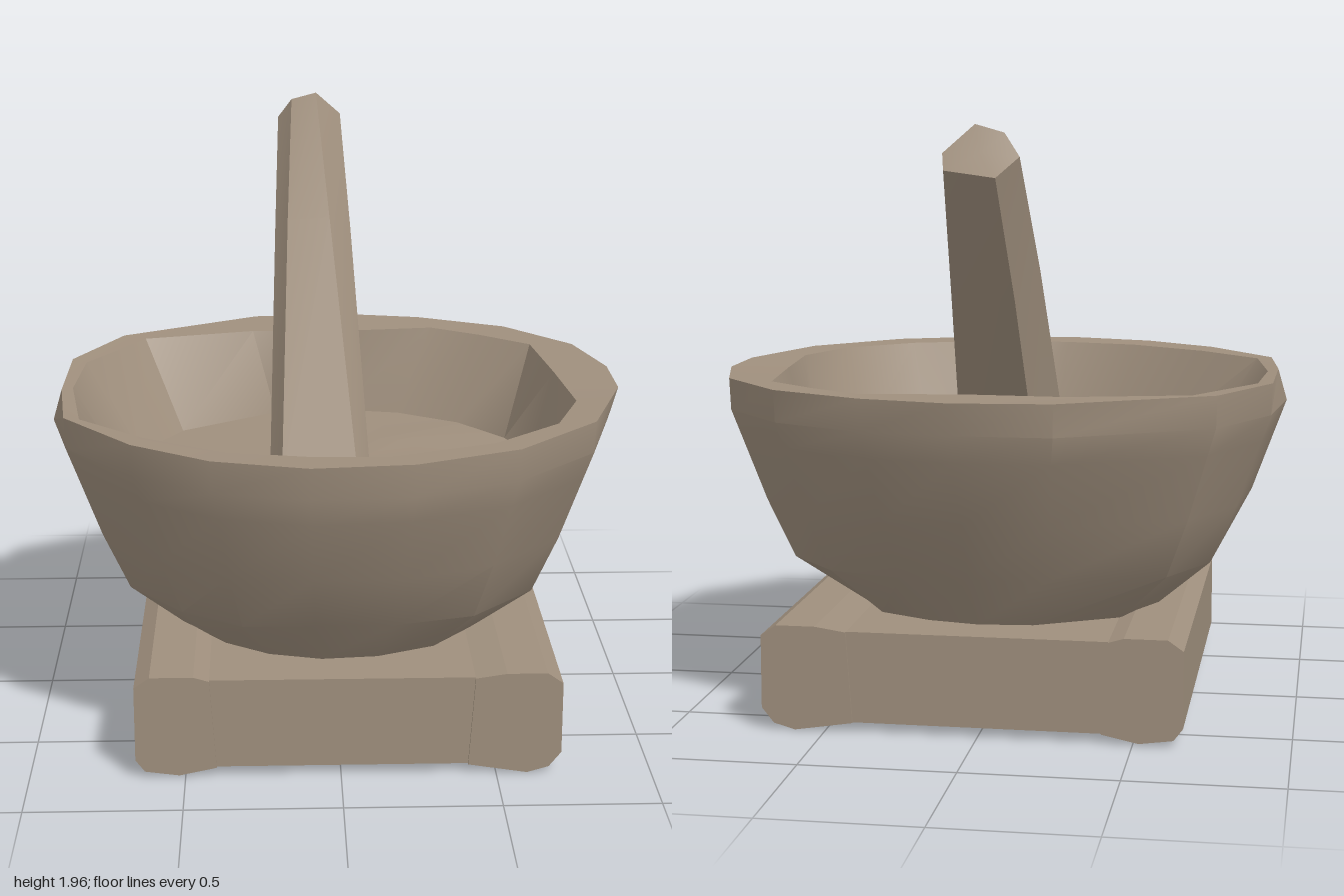
import * as THREE from 'three';
import { toCreasedNormals } from 'three/addons/utils/BufferGeometryUtils.js';

// Skin a stack of equal-length rings; each ring runs from +x towards +z.
// A one-point ring closes the surface.
function loft(rings, crease) {
  const pos = [];
  const n = Math.max(...rings.map((r) => r.length));
  const at = (r, i) => r[i % r.length];
  for (let k = 0; k < rings.length - 1; k++) {
    const a = rings[k], b = rings[k + 1];
    for (let i = 0; i < n; i++) {
      if (a.length > 1) pos.push(...at(a, i), ...at(b, i), ...at(a, i + 1));
      if (b.length > 1) pos.push(...at(a, i + 1), ...at(b, i), ...at(b, i + 1));
    }
  }
  const g = new THREE.BufferGeometry();
  g.setAttribute('position', new THREE.Float32BufferAttribute(pos, 3));
  return toCreasedNormals(g, crease);
}

// Irregular hewn rim outlines as [x, z]
const outerRim = [
  [0.95, 0.16], [0.82, 0.55], [0.55, 0.83], [0.22, 0.97], [-0.1, 1.0], [-0.4, 0.92],
  [-0.65, 0.75], [-0.88, 0.46], [-0.95, 0.13], [-0.91, -0.25], [-0.75, -0.57],
  [-0.27, -0.84], [0.05, -0.87], [0.34, -0.81], [0.65, -0.66], [0.87, -0.4], [0.95, -0.1],
];
const innerRim = [
  [0.79, 0.3], [0.7, 0.55], [0.48, 0.75], [0.13, 0.88], [-0.1, 0.87], [-0.35, 0.82],
  [-0.62, 0.66], [-0.83, 0.46], [-0.88, 0.1], [-0.86, -0.22], [-0.67, -0.54],
  [-0.28, -0.64], [0.03, -0.63], [0.38, -0.67], [0.55, -0.56], [0.72, -0.42], [0.76, -0.05],
];

function bowlGeometry() {
  const cz = 0.065;
  const clamp = THREE.MathUtils.clamp;
  // Outer wall rings are shrunken copies of the rim, cut flat at their limits
  const wall = (y, scale, x0, x1, z0, z1) =>
    outerRim.map(([x, z]) => [clamp(x * scale, x0, x1), y, clamp(cz + (z - cz) * scale, z0, z1)]);
  // Floor rings are round and slightly uneven
  const floor = (y, radius, bump) =>
    outerRim.map(([x, z], i) => {
      const a = Math.atan2(z - cz, x);
      return [radius * Math.cos(a), y + bump * Math.sin(i * 2.4), 0.08 + radius * Math.sin(a)];
    });
  return loft([
    [[-0.04, 0.33, cz]],
    wall(0.33, 0.57, -0.53, 0.45, -0.49, 0.62),
    wall(0.5, 0.78, -0.72, 0.715, -0.57, 0.73),
    wall(0.7, 0.875, -0.86, 0.8, -0.68, 0.85),
    wall(0.92, 0.96, -0.93, 0.88, -0.81, 0.965),
    wall(1.01, 0.995, -0.95, 0.92, -0.84, 0.985),
    // the rim is worn in on one side
    outerRim.map(([x, z]) => [Math.max(x, -0.915), 1.115, z]),
    innerRim.map(([x, z]) => [x, 1.11, z]),
    floor(0.81, 0.7, 0),
    floor(0.81, 0.38, 0.012),
    [[0, 0.81, 0.08]],
  ], 0.5);
}

function pestleGeometry() {
  const foot = [
    [0.08, 0.78, 0.12], [-0.18, 0.78, 0.09], [-0.22, 0.78, -0.03],
    [-0.16, 0.78, -0.35], [0.1, 0.78, -0.32], [0.125, 0.78, 0],
  ];
  const waist = [
    [0, 1.56, -0.52], [-0.15, 1.55, -0.53], [-0.195, 1.5, -0.59],
    [-0.14, 1.42, -0.755], [0.06, 1.43, -0.735], [0.078, 1.5, -0.59],
  ];
  const tip = [
    [-0.04, 1.955, -0.88], [-0.13, 1.93, -0.89], [-0.18, 1.86, -0.92],
    [-0.12, 1.8, -1], [0.04, 1.82, -0.97], [0.05, 1.87, -0.93],
  ];
  return loft([[[-0.05, 0.78, -0.1]], foot, waist, tip, [[-0.065, 1.875, -0.935]]], 0.5);
}

// Outline in x and y extruded front to back, starting at z
function beam(points, z, depth) {
  const shape = new THREE.Shape(points.map(([x, y]) => new THREE.Vector2(x, y)));
  return new THREE.ExtrudeGeometry(shape, { depth, bevelEnabled: false }).translate(0, 0, z);
}

// Chamfered rail outlines, each from its inner foot round to its inner top
const rightRail = [
  [-0.4, 0.03], [-0.52, 0.005], [-0.63, 0.02], [-0.66, 0.06],
  [-0.66, 0.31], [-0.61, 0.345], [-0.47, 0.345], [-0.42, 0.33],
];
const leftRail = [
  [0.41, 0.03], [0.6, 0], [0.67, 0.02], [0.71, 0.07],
  [0.71, 0.31], [0.66, 0.345], [0.53, 0.345], [0.43, 0.33],
];

export function createModel() {
  const group = new THREE.Group();
  const stone = new THREE.MeshStandardMaterial({ color: 0x9f8f7d });
  stone.name = 'stone';
  const add = (name, geometry) => {
    const mesh = new THREE.Mesh(geometry, stone);
    mesh.name = name;
    group.add(mesh);
  };

  add('bowl', bowlGeometry());
  add('pestle', pestleGeometry());

  // Base: one block whose rails stand slightly proud at both ends
  add('base', beam([...rightRail, ...[...leftRail].reverse()], -0.63, 1.39));
  for (const z of [-0.64, 0.76]) {
    add('rightRailEnd', beam(rightRail, z, 0.01));
    add('leftRailEnd', beam(leftRail, z, 0.01));
  }
  return group;
}
